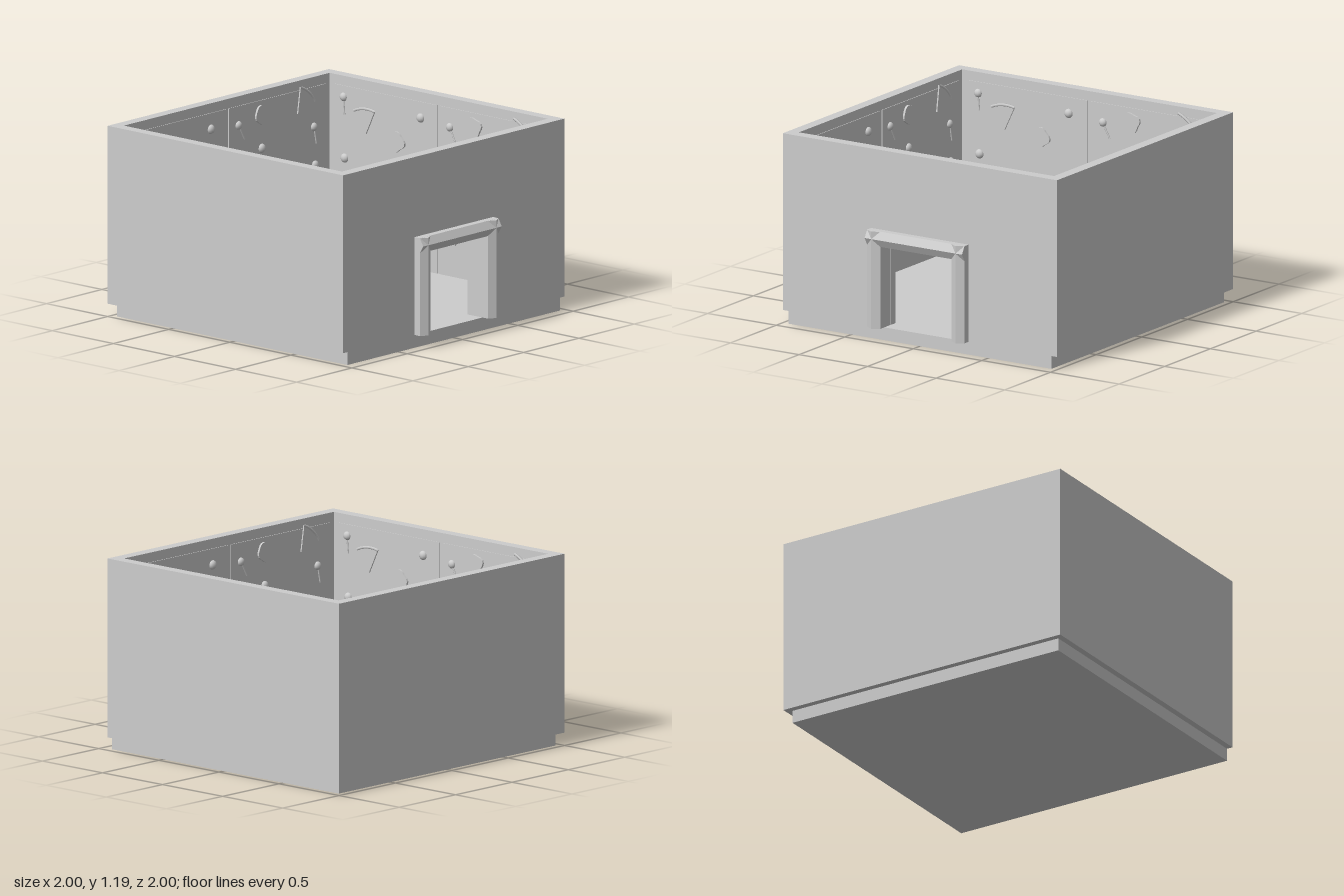
import * as THREE from 'three';

const plaster = new THREE.MeshStandardMaterial({ color: 0xcccccc });
plaster.name = 'plaster grey';

function add(parent, name, geometry, x = 0, y = 0, z = 0) {
  const mesh = new THREE.Mesh(geometry, plaster);
  mesh.name = name;
  mesh.position.set(x, y, z);
  parent.add(mesh);
  return mesh;
}

function box(parent, name, x0, x1, y0, y1, z0, z1) {
  return add(parent, name, new THREE.BoxGeometry(x1 - x0, y1 - y0, z1 - z0),
    (x0 + x1) / 2, (y0 + y1) / 2, (z0 + z1) / 2);
}

// Wall ornaments, built at the origin facing +z
const outline = (shape, depth) => new THREE.ExtrudeGeometry(shape, { depth, bevelEnabled: false, curveSegments: 6 });

const wedgeShape = new THREE.Shape();
wedgeShape.moveTo(0, -0.08);
wedgeShape.lineTo(0.085, 0.06);
wedgeShape.quadraticCurveTo(0, 0.09, -0.085, 0.06);
wedgeShape.closePath();

const fruitPoints = [];
for (let i = 0; i < 24; i++) {
  const a = i / 24 * Math.PI * 2;
  const r = 0.061 + 0.005 * Math.cos(4 * a + 0.6) + 0.003 * Math.cos(3 * a);
  fruitPoints.push(new THREE.Vector2(r * Math.cos(a), r * Math.sin(a)));
}

const ornaments = {
  wedge(g) {
    add(g, 'wedge slice', outline(wedgeShape, 0.01));
    const crust = new THREE.TubeGeometry(new THREE.QuadraticBezierCurve3(
      new THREE.Vector3(-0.085, 0.06, 0.006), new THREE.Vector3(0, 0.09, 0.006),
      new THREE.Vector3(0.085, 0.06, 0.006)), 6, 0.009, 6);
    add(g, 'wedge crust', crust);
  },
  fruit(g) {
    add(g, 'fruit half', outline(new THREE.Shape(fruitPoints), 0.014));
  },
  drop(g) {
    add(g, 'round drop', new THREE.SphereGeometry(0.029, 10, 8)).scale.z = 0.8;
  },
  pop(g) {
    add(g, 'stick sweet head', new THREE.SphereGeometry(0.027, 10, 8)).scale.z = 0.8;
    add(g, 'stick', new THREE.CylinderGeometry(0.005, 0.005, 0.085, 6), 0, -0.065, 0.004);
  },
};

// kind, position along the wall from its middle, height, turn
const pattern = [
  ['pop', -0.81, 1.06, 0.1], ['wedge', -0.62, 0.94, 0.1], ['fruit', -0.35, 0.85, 0],
  ['drop', -0.15, 1.03, 0], ['drop', -0.8, 0.68, 0], ['pop', -0.31, 0.54, -0.5],
  ['wedge', -0.52, 0.35, 0.5], ['drop', -0.36, 0.24, 0], ['pop', -0.75, 0.22, 0.6],
  ['fruit', -0.14, 0.32, 0.4],
  ['pop', 0.1, 1.01, 0.5], ['fruit', 0.31, 1.04, 0.5], ['wedge', 0.68, 1.05, -0.7],
  ['drop', 0.31, 0.83, 0], ['pop', 0.78, 0.88, 0.2], ['drop', 0.79, 0.64, 0],
  ['fruit', 0.76, 0.48, 0.8], ['wedge', 0.15, 0.54, 0.2], ['pop', 0.21, 0.37, -0.6],
  ['drop', 0.39, 0.25, 0], ['wedge', 0.6, 0.24, 0.9],
];

// Inner wall lining: thin panels with gaps at middle and corners, plus ornaments
function lining(name, half, hasDoor) {
  const wall = new THREE.Group();
  wall.name = name;
  for (const side of [-1, 1]) {
    const inner = side * (hasDoor ? 0.27 : 0.012), outer = side * (half - 0.04);
    const a = Math.min(inner, outer), b = Math.max(inner, outer);
    box(wall, 'wall panel', a, b, 0.08, 1.13, -0.002, 0.005);
    if (hasDoor) {
      box(wall, 'panel above door', Math.min(side * 0.012, inner), Math.max(side * 0.012, inner),
        0.6, 1.13, -0.002, 0.005);
    }
  }
  for (const [kind, u, y, turn] of pattern) {
    if (hasDoor && Math.abs(u) < 0.42 && y < 0.75) continue;
    const g = new THREE.Group();
    g.name = kind + ' ornament';
    ornaments[kind](g);
    g.position.set(u * half / 0.93, y, 0.004);
    g.rotation.z = turn;
    wall.add(g);
  }
  return wall;
}

// Hexagonal door surround on one face of the front wall
function doorFrame(name, z) {
  const frame = new THREE.Group();
  frame.name = name;
  const bar = (length) => new THREE.CylinderGeometry(0.055, 0.055, length, 6).toNonIndexed();
  const flat = (g) => { g.computeVertexNormals(); return g; };
  for (const s of [-1, 1]) add(frame, 'door post', flat(bar(0.61)), s * 0.307, 0.385, z);
  add(frame, 'lintel', flat(bar(0.71)), 0, 0.643, z).rotation.z = Math.PI / 2;
  return frame;
}

// Ball with sprinkles at an inner corner of the door surround
function cornerBall(x) {
  const g = new THREE.Group();
  g.name = 'corner ball';
  add(g, 'ball', new THREE.SphereGeometry(0.092, 20, 14));
  for (let i = 0; i < 26; i++) {
    const y = 1 - (i + 0.5) / 13, a = i * 2.4, r = Math.sqrt(1 - y * y);
    const dir = new THREE.Vector3(r * Math.cos(a), y, r * Math.sin(a));
    if (dir.z > 0.3) continue;
    const p = dir.clone().multiplyScalar(0.092);
    const chip = add(g, 'sprinkle', new THREE.BoxGeometry(0.018, 0.006, 0.006), p.x, p.y, p.z);
    chip.quaternion.setFromUnitVectors(new THREE.Vector3(0, 0, 1), dir);
    chip.rotateZ(i);
  }
  g.position.set(x, 0.65, 0.825);
  return g;
}

export function createModel() {
  const model = new THREE.Group();
  model.name = 'roofless room';

  // Floor slab, set in at the sides and back
  box(model, 'floor', -0.96, 0.96, 0, 0.08, -0.96, 0.928);

  // Side and back walls
  for (const s of [-1, 1]) {
    box(model, 'side wall', Math.min(s, s * 0.93), Math.max(s, s * 0.93), 0.08, 1.19, -1, 0.928);
  }
  box(model, 'back wall', -0.93, 0.93, 0.08, 1.19, -1, -0.93);

  // Front wall with the doorway cut out
  const front = new THREE.Shape();
  front.moveTo(-0.93, 0.08);
  for (const [x, y] of [[-0.26, 0.08], [-0.26, 0.6], [0.26, 0.6], [0.26, 0.08],
    [0.93, 0.08], [0.93, 1.19], [-0.93, 1.19]]) front.lineTo(x, y);
  front.closePath();
  add(model, 'front wall', outline(front, 0.073), 0, 0, 0.855);

  // Linings turned to face into the room
  const sides = [
    ['back lining', 0.93, false, 0, -0.93, 0],
    ['front lining', 0.93, true, 0, 0.855, Math.PI],
    ['right lining', 0.89, false, -0.93, -0.037, Math.PI / 2],
    ['left lining', 0.89, false, 0.93, -0.037, -Math.PI / 2],
  ];
  for (const [name, half, door, x, z, turn] of sides) {
    const wall = lining(name, half, door);
    wall.position.set(x, 0, z);
    wall.rotation.y = turn;
    model.add(wall);
  }

  // Door surrounds outside and inside, with balls on the inner corners
  model.add(doorFrame('outer door frame', 0.945), doorFrame('inner door frame', 0.835));
  for (const s of [-1, 1]) model.add(cornerBall(s * 0.315));
  return model;
}
